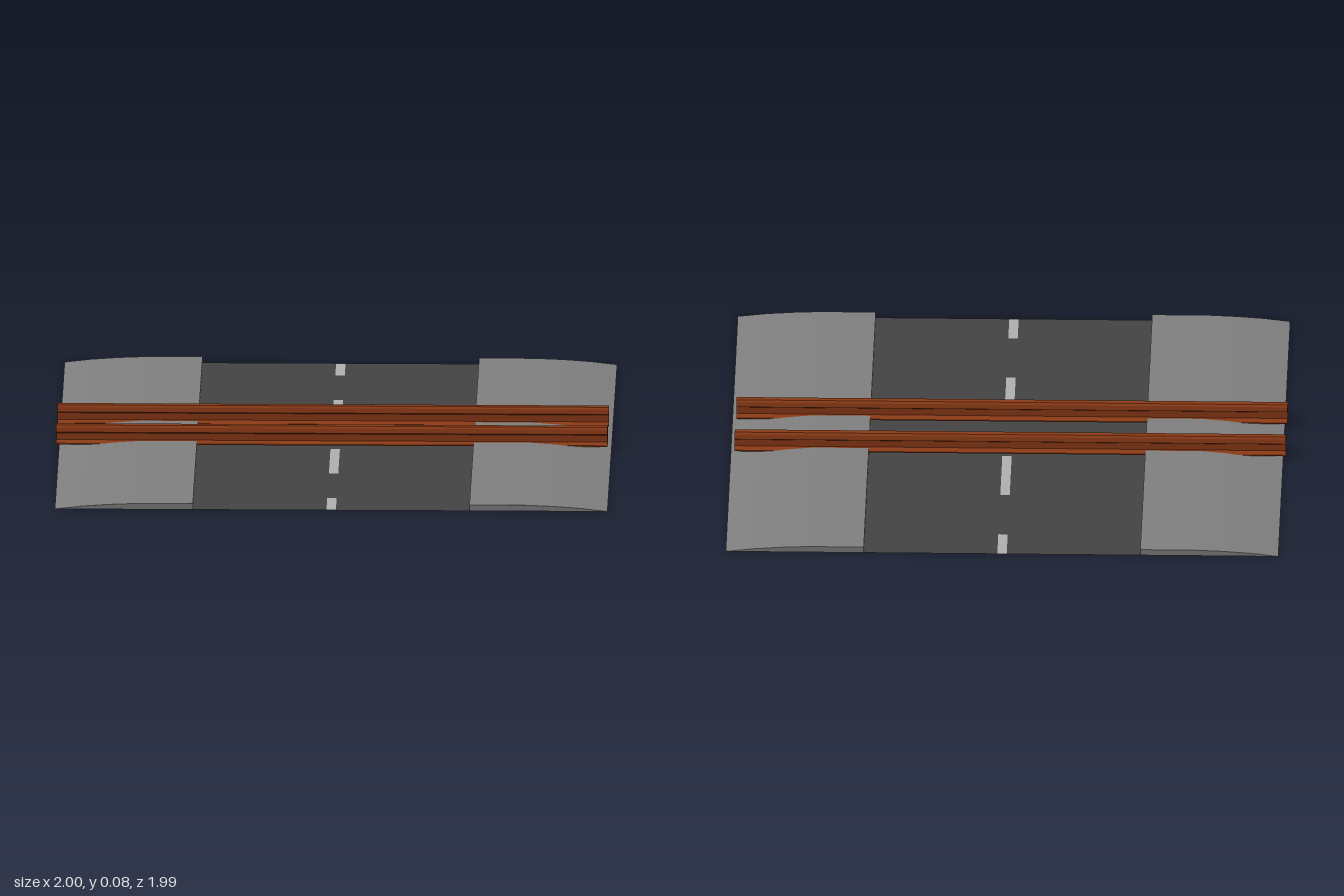
import * as THREE from 'three';

const CX = 0.005;   // road centre line
const HALF = 0.994; // half length of the road
const mat = (color) => new THREE.MeshStandardMaterial({ color, flatShading: true, side: THREE.DoubleSide });

function add(group, name, geometry, material) {
  const mesh = new THREE.Mesh(geometry, material);
  mesh.name = name;
  group.add(mesh);
  return mesh;
}

const toShape = (points) => new THREE.Shape(points.map(([x, y]) => new THREE.Vector2(x, y)));
const rect = (x, z0, z1) => [[-x, z0], [x, z0], [x, z1], [-x, z1]];

export function createModel() {
  const root = new THREE.Group();
  root.name = 'roadCrossing';
  const asphalt = mat(0x444444);
  const paving = mat(0x808080);
  const paint = mat(0xb0b0b0);
  const rust = mat(0x8b3a16);

  // Flat carriageway with the centre dashes inlaid
  const road = toShape(rect(0.498, -HALF, HALF));
  const dashes = [[-HALF, -0.828], [-0.497, -0.166], [0.166, 0.497], [0.828, HALF]];
  dashes.forEach(([z0, z1], i) => {
    const inset = 0.0002; // keeps the end dashes just inside the outline
    const a = Math.max(z0, -HALF + inset), b = Math.min(z1, HALF - inset);
    road.holes.push(toShape(rect(0.017, a, b)));
    const dash = add(root, `centreDash${i + 1}`, new THREE.ShapeGeometry(toShape(rect(0.017, a, b))), paint);
    dash.rotation.x = -Math.PI / 2;
    dash.position.x = CX;
  });
  const surface = add(root, 'roadSurface', new THREE.ShapeGeometry(road), asphalt);
  surface.rotation.x = -Math.PI / 2;
  surface.position.x = CX;

  // Pavements: a kerb on the road side, curving down to the outer edge
  const profile = [[0.498, 0], [0.995, 0], [0.9, 0.011], [0.8, 0.018], [0.7, 0.022], [0.498, 0.022]];
  for (const side of [1, -1]) {
    const shape = toShape(profile.map(([x, y]) => [side * x, y]));
    const geometry = new THREE.ExtrudeGeometry(shape, { depth: 2 * HALF, bevelEnabled: false });
    geometry.translate(CX, 0, -HALF);
    add(root, side > 0 ? 'leftPavement' : 'rightPavement', geometry, paving);
  }

  // Rails: foot, web and chamfered head, mirrored about the centre
  const half = [[0.031, 0.012], [0.031, 0.016], [0.01, 0.024], [0.01, 0.049], [0.021, 0.055], [0.018, 0.072], [0.012, 0.079]];
  const section = [...half, ...half.map(([z, y]) => [-z, y]).reverse()];
  [[0.132, 'frontRail'], [-0.141, 'backRail']].forEach(([z, name]) => {
    const geometry = new THREE.ExtrudeGeometry(toShape(section), { depth: 1.986, bevelEnabled: false });
    geometry.rotateY(Math.PI / 2);
    geometry.translate(-1, 0, z);
    add(root, name, geometry, rust);
  });

  return root;
}
